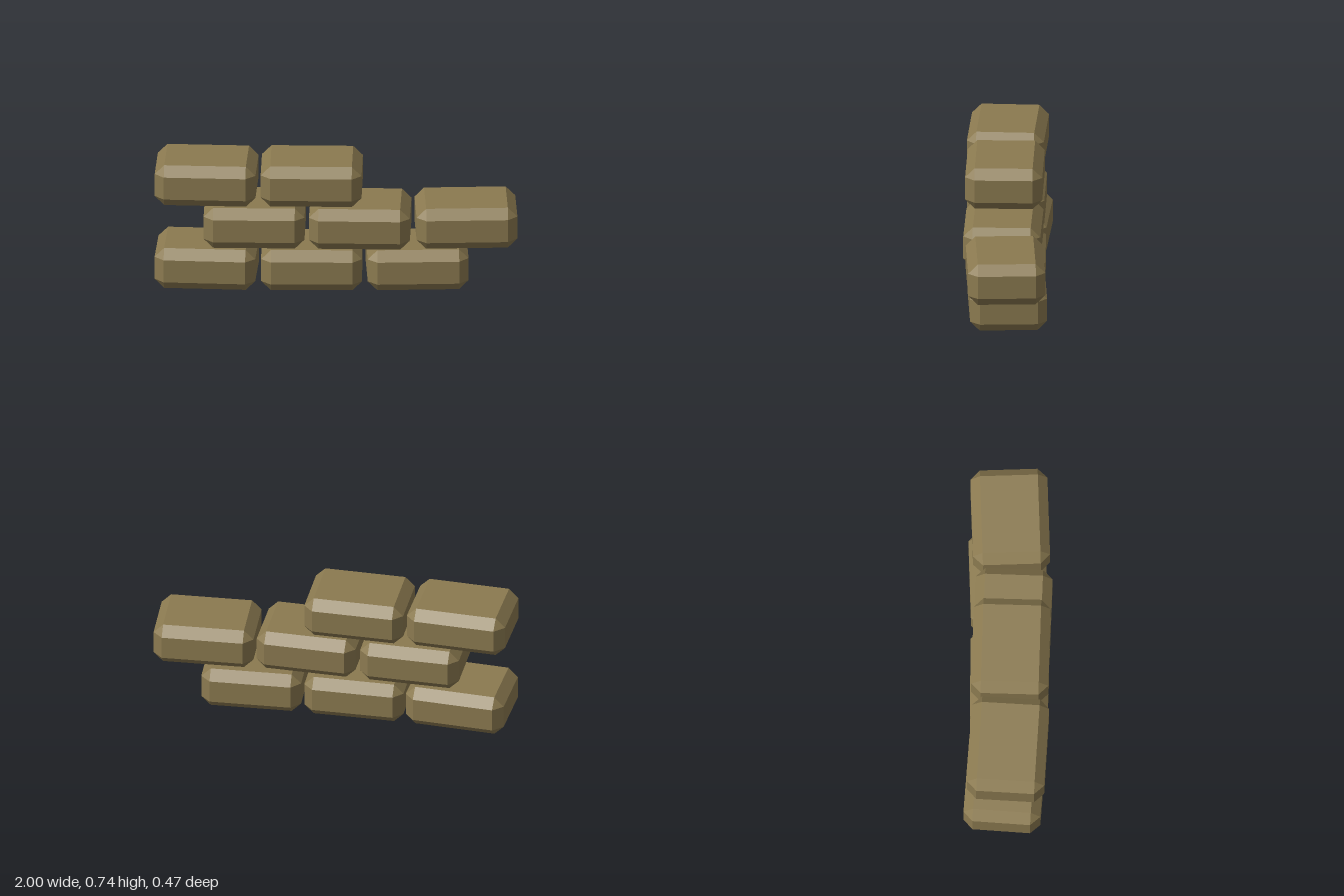
import * as THREE from 'three';
import { ConvexGeometry } from 'three/addons/geometries/ConvexGeometry.js';

// Box with every edge cut by one flat chamfer
function chamferedBox(w, h, d, c) {
  const points = [];
  for (const sx of [-1, 1]) for (const sy of [-1, 1]) for (const sz of [-1, 1]) {
    const x = w / 2, y = h / 2, z = d / 2;
    points.push(
      new THREE.Vector3(sx * x, sy * (y - c), sz * (z - c)),
      new THREE.Vector3(sx * (x - c), sy * y, sz * (z - c)),
      new THREE.Vector3(sx * (x - c), sy * (y - c), sz * z));
  }
  return new ConvexGeometry(points);
}

export function createModel() {
  const group = new THREE.Group();
  group.name = 'brickWall';
  const stone = new THREE.MeshStandardMaterial({ color: 0x8b7a50, flatShading: true });
  stone.name = 'brown stone';

  const height = 0.236, pitch = 0.2495;
  const geometry = chamferedBox(0.556, height, 0.425, 0.053);

  // Courses from the ground up; each brick is [x, z, turn about y]
  const courses = [
    [[-0.713, -0.007, -0.055], [-0.135, 0.003, 0.01], [0.445, -0.011, 0.05]],
    [[-0.449, 0.01, -0.012], [0.132, 0.018, -0.018], [0.714, -0.006, 0.052]],
    [[-0.714, 0.011, -0.042], [-0.135, 0.015, -0.01]],
  ];
  const names = ['bottom', 'middle', 'top'];
  courses.forEach((bricks, row) => {
    const course = new THREE.Group();
    course.name = names[row] + 'Course';
    bricks.forEach(([x, z, turn], i) => {
      const brick = new THREE.Mesh(geometry, stone);
      brick.name = `${names[row]}Brick${i + 1}`;
      brick.position.set(x, height / 2 + row * pitch, z);
      brick.rotation.y = turn;
      course.add(brick);
    });
    group.add(course);
  });
  return group;
}
